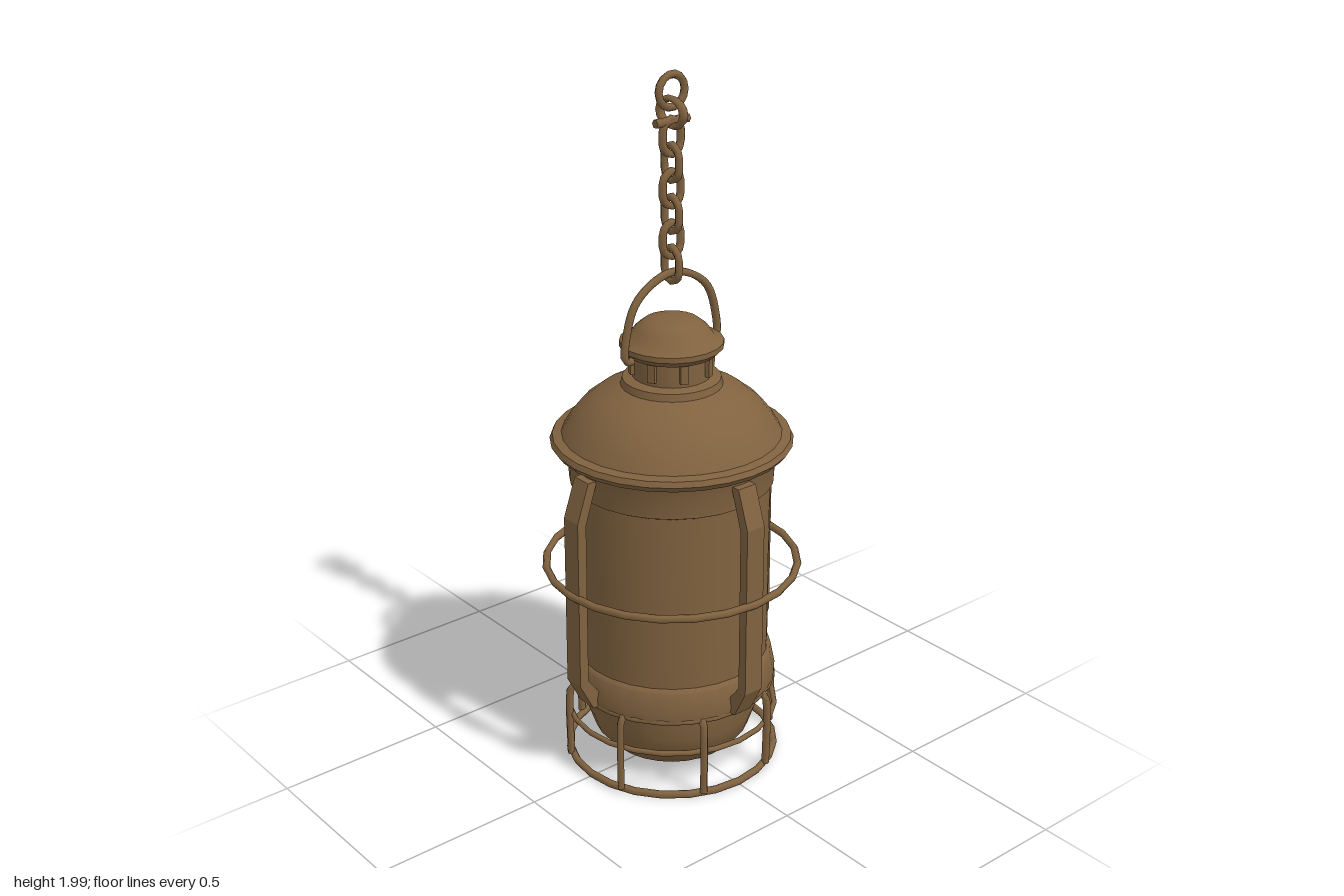
import * as THREE from 'three';
import { toCreasedNormals } from 'three/addons/utils/BufferGeometryUtils.js';

export function createModel() {
  const model = new THREE.Group();
  model.name = 'hangingLantern';
  const bronze = new THREE.MeshStandardMaterial({ color: 0x80623f, side: THREE.DoubleSide });
  bronze.name = 'aged bronze';

  const add = (name, geometry, parent = model) => {
    const mesh = new THREE.Mesh(geometry, bronze);
    mesh.name = name;
    parent.add(mesh);
    return mesh;
  };
  const lathe = (name, points, sides = 28) => add(name, toCreasedNormals(
    new THREE.LatheGeometry(points.map(([r, y]) => new THREE.Vector2(r, y)), sides), 0.6));
  const ring = (name, radius, tube, y, sides = 24) => {
    const mesh = add(name, new THREE.TorusGeometry(radius, tube, 6, sides));
    mesh.rotation.x = Math.PI / 2;
    mesh.position.y = y;
    return mesh;
  };
  const tube = (points, radius, closed = false, segments = 24) => new THREE.TubeGeometry(
    new THREE.CatmullRomCurve3(points.map(p => new THREE.Vector3(...p)), closed, 'centripetal'),
    segments, radius, 6, closed);

  // Body: bowl, collar, glass and upper collar
  lathe('bowl', [[0, 0.025], [0.13, 0.03], [0.185, 0.05], [0.225, 0.095], [0.247, 0.16], [0.255, 0.25]]);
  lathe('lowerCollar', [[0.255, 0.24], [0.295, 0.245], [0.298, 0.27], [0.285, 0.335], [0.275, 0.345]]);
  lathe('glass', [[0.275, 0.335], [0.275, 0.88]]);
  lathe('upperCollar', [[0.275, 0.865], [0.284, 0.87], [0.287, 0.93], [0.3, 0.97]]);

  // Roof with rolled rim
  lathe('roof', [[0.27, 0.955], [0.322, 0.968], [0.335, 0.985], [0.328, 1.0], [0.303, 1.005],
    [0.282, 1.04], [0.25, 1.08], [0.2, 1.12], [0.14, 1.145], [0.135, 1.165], [0.108, 1.172]]);

  // Chimney and its cap
  lathe('chimney', [[0.108, 1.16], [0.108, 1.24]], 20);
  lathe('cap', [[0.1, 1.232], [0.125, 1.238], [0.142, 1.255], [0.142, 1.27], [0.115, 1.283],
    [0.1, 1.305], [0.075, 1.325], [0.04, 1.332], [0, 1.333]], 20);
  for (let i = 0; i < 8; i++) {
    const a = (i + 0.5) * Math.PI / 4;
    const vent = add('chimneyRib', new THREE.BoxGeometry(0.022, 0.055, 0.018));
    vent.position.set(Math.sin(a) * 0.11, 1.212, Math.cos(a) * 0.11);
    vent.rotation.y = a;
  }

  // Four flat guard bars, bent inward at both ends
  const profile = new THREE.Shape([[0.283, 0.25], [0.308, 0.25], [0.352, 0.335], [0.35, 0.835], [0.312, 0.945],
    [0.283, 0.945], [0.322, 0.825], [0.324, 0.345], [0.283, 0.29]].map(([x, y]) => new THREE.Vector2(x, y)));
  const barGeometry = new THREE.ExtrudeGeometry(profile, { depth: 0.06, bevelEnabled: false });
  barGeometry.translate(0, 0, -0.03);
  for (let i = 0; i < 4; i++) add('guardBar', barGeometry).rotation.y = i * Math.PI / 2;
  ring('guardRing', 0.355, 0.011, 0.61);

  // Lower cage
  ring('cageTopRing', 0.29, 0.009, 0.248);
  ring('cageMiddleRing', 0.299, 0.008, 0.152);
  ring('cageBottomRing', 0.299, 0.011, 0.016);
  const cageBar = tube([[0.27, 0.25, 0], [0.298, 0.243, 0], [0.305, 0.215, 0], [0.305, 0.02, 0]], 0.011, false, 12);
  for (let i = 0; i < 8; i++) add('cageBar', cageBar).rotation.y = (i + 0.5) * Math.PI / 4;

  // Carrying handle
  add('handle', tube([[-0.135, 1.24, 0], [-0.158, 1.245, 0], [-0.153, 1.32, 0], [-0.125, 1.395, 0],
    [-0.07, 1.44, 0], [0, 1.46, 0], [0.07, 1.44, 0], [0.125, 1.395, 0],
    [0.153, 1.32, 0], [0.158, 1.245, 0], [0.135, 1.24, 0]], 0.011, false, 36));

  // Chain links, each turned a quarter from the last
  const chain = new THREE.Group();
  chain.name = 'chain';
  model.add(chain);
  const link = tube([[0, 0.047, 0], [0.026, 0.03, 0], [0.03, 0, 0], [0.026, -0.03, 0],
    [0, -0.047, 0], [-0.026, -0.03, 0], [-0.03, 0, 0], [-0.026, 0.03, 0]], 0.011, true, 16);
  for (let i = 0; i < 6; i++) {
    const mesh = add('chainLink', link, chain);
    mesh.position.y = 1.482 + i * 0.069;
    mesh.rotation.y = i % 2 ? 0 : Math.PI / 2;
  }

  // Shackle and hanging ring
  const shackle = add('shackle', new THREE.TorusGeometry(0.048, 0.012, 6, 14), chain);
  shackle.scale.y = 0.75;
  shackle.rotation.y = Math.PI / 2;
  shackle.position.y = 1.89;
  const pin = add('shacklePin', new THREE.CylinderGeometry(0.012, 0.012, 0.11, 6), chain);
  pin.rotation.z = Math.PI / 2;
  pin.position.y = 1.868;
  add('hangingRing', new THREE.TorusGeometry(0.043, 0.011, 6, 14), chain).position.y = 1.946;

  return model;
}
